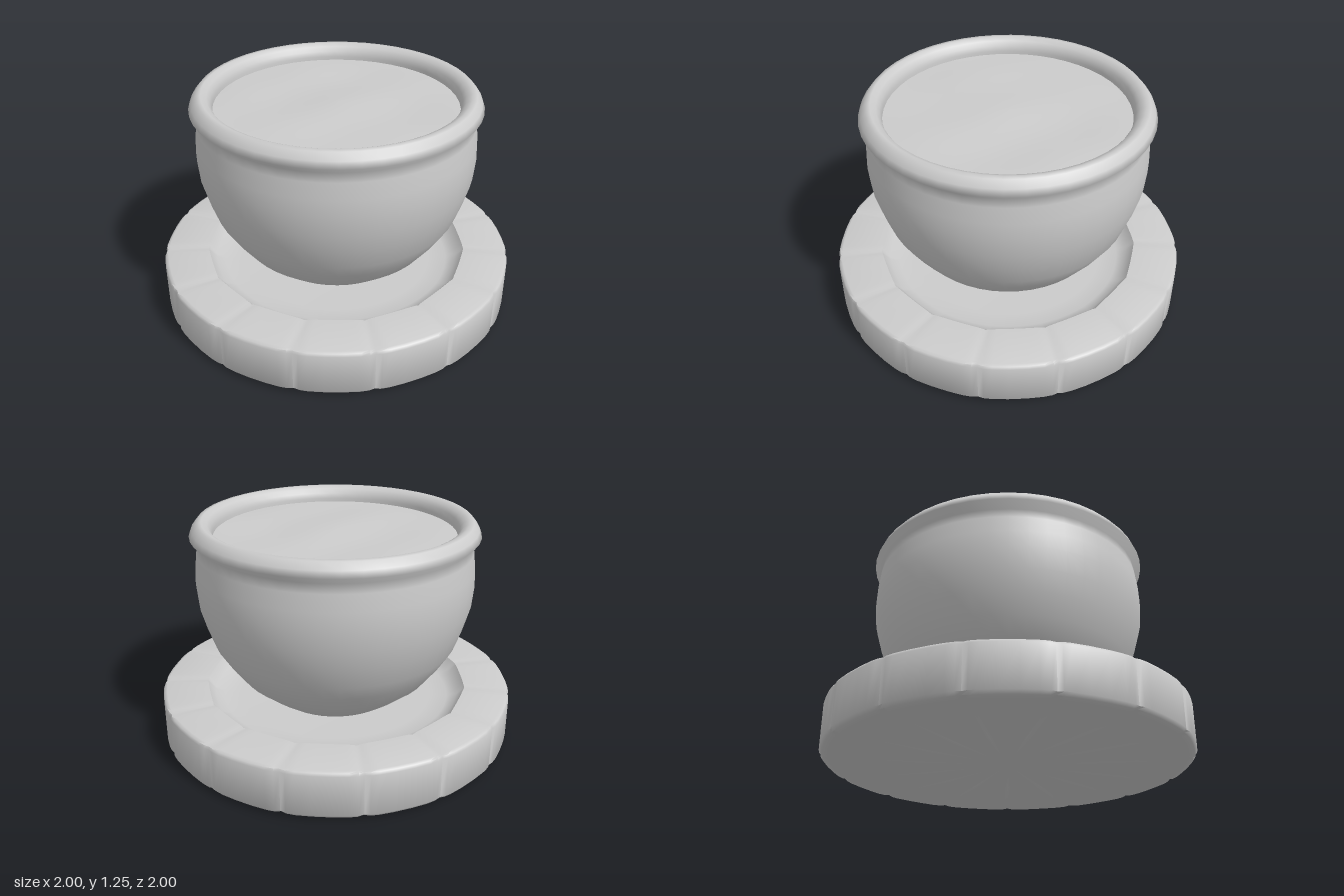
import * as THREE from 'three';
import { toCreasedNormals } from 'three/addons/utils/BufferGeometryUtils.js';

const PETALS = 15;

function addMesh(group, name, geometry) {
  const mesh = new THREE.Mesh(geometry, new THREE.MeshStandardMaterial({ color: 0xcccccc }));
  mesh.name = name;
  group.add(mesh);
}

// Revolved skin whose rings may vary with the angle: point(ring, column) -> [r, y, angle]
function ringSkin(rings, columns, point) {
  const positions = [], index = [];
  for (let j = 0; j < rings; j++) {
    for (let i = 0; i < columns; i++) {
      const [r, y, a] = point(j, i);
      positions.push(r * Math.cos(a), y, -r * Math.sin(a));
    }
  }
  for (let j = 0; j < rings - 1; j++) {
    for (let i = 0; i < columns; i++) {
      const a = j * columns + i, b = j * columns + (i + 1) % columns;
      index.push(a, b, b + columns, a, b + columns, a + columns);
    }
  }
  const geometry = new THREE.BufferGeometry();
  geometry.setAttribute('position', new THREE.Float32BufferAttribute(positions, 3));
  geometry.setIndex(index);
  geometry.computeVertexNormals();
  return geometry;
}

// Scalloped saucer: radius, height, groove cut in radius, groove cut in height, chord flattening
function saucerGeometry() {
  const profile = [
    [0.002, 0.006, 0, 0, 0],
    [0.12, 0.005, 0, 0.003, 0],
    [0.45, 0.003, 0, 0.009, 0],
    [0.86, 0.003, 0, 0.012, 0],
    [0.95, 0.005, 0.004, 0.011, 0.4],
    [0.99, 0.012, 0.01, 0.006, 1],
    [1.004, 0.03, 0.011, 0, 1],
    [1.004, 0.256, 0.011, 0, 1],
    [0.997, 0.27, 0.011, 0, 1],
    [0.982, 0.276, 0.01, -0.005, 1],
    [0.75, 0.275, 0, -0.005, 2],
    [0.705, 0.22, 0, 0, 1],
    [0.65, 0.2, 0, 0, 0],
    [0.55, 0.193, 0, 0, 0],
    [0.002, 0.192, 0, 0, 0],
  ];
  const steps = [0, 0.07, 0.18, 0.38, 0.62, 0.82, 0.93];
  return ringSkin(profile.length, PETALS * steps.length, (j, i) => {
    const [r, y, cutR, cutY, flat] = profile[j];
    const t = steps[i % steps.length];
    const angle = (Math.floor(i / steps.length) + t) * 2 * Math.PI / PETALS;
    const groove = t === 0 ? 1 : (t < 0.1 || t > 0.9 ? 0.25 : 0);
    const chord = 4 * t * (1 - t) * 0.006 * flat;
    return [r - cutR * groove - chord, y + cutY * groove, angle];
  });
}

// Soil disc with gentle lumps that fade out at the rim
function soilGeometry() {
  const rings = 12, columns = 48, radius = 0.675;
  return ringSkin(rings + 1, columns, (j, i) => {
    const s = 1 - j / rings;
    const r = Math.max(0.001, s * radius);
    const a = i * 2 * Math.PI / columns;
    const x = r * Math.cos(a), z = -r * Math.sin(a);
    const lumps = 0.012 * Math.sin(8 * x + 1) * Math.cos(7 * z) + 0.008 * Math.sin(5 * z - 4 * x);
    return [r, 1.16 + (1 - s * s) * (0.006 + lumps), a];
  });
}

export function createModel() {
  const model = new THREE.Group();
  model.name = 'pottedPlanter';

  addMesh(model, 'saucer', toCreasedNormals(saucerGeometry(), 0.78));

  const pot = new THREE.Group();
  pot.name = 'pot';
  pot.position.x = 0.003;
  model.add(pot);

  // Rounded bowl running smoothly into its rolled lip and inner wall
  const bowl = [
    [0, 0.18], [0.3, 0.18], [0.35, 0.208], [0.43, 0.265], [0.545, 0.36], [0.625, 0.465],
    [0.685, 0.56], [0.727, 0.68], [0.758, 0.79], [0.769, 0.91], [0.765, 1.0],
    [0.754, 1.09], [0.748, 1.14], [0.788, 1.177], [0.774, 1.212], [0.745, 1.247],
    [0.72, 1.25], [0.69, 1.235], [0.672, 1.21], [0.664, 1.18], [0.664, 1.14],
  ].map(([r, y]) => new THREE.Vector2(r, y));
  addMesh(pot, 'bowl', new THREE.LatheGeometry(bowl, 48));

  addMesh(pot, 'soil', soilGeometry());
  return model;
}
